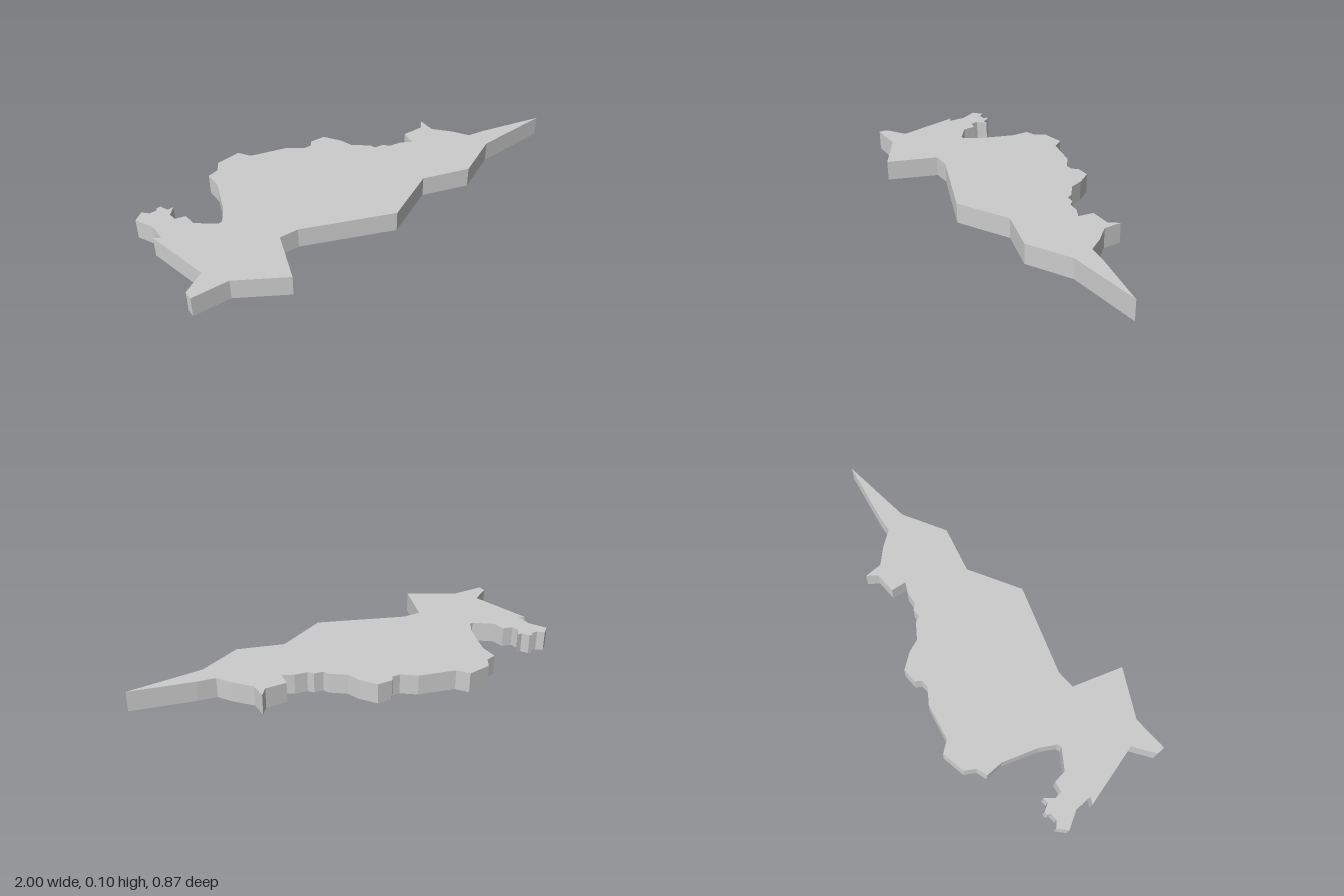
import * as THREE from 'three';

const HEIGHT = 0.097;

// Outline of the slab as seen from above: [x, z]
const backEdge = [
  [-1, 0.27], [-0.9, 0.205], [-0.97, -0.1], [-0.94, -0.083], [-0.94, -0.168],
  [-0.983, -0.25], [-0.94, -0.286], [-0.914, -0.26], [-0.88, -0.26],
  [-0.875, -0.275], [-0.855, -0.275], [-0.838, -0.238], [-0.81, -0.24],
  [-0.845, -0.2], [-0.84, -0.163], [-0.793, -0.152], [-0.787, -0.09],
  [-0.7, -0.026], [-0.682, -0.03], [-0.637, -0.104], [-0.578, -0.27],
  [-0.578, -0.355], [-0.526, -0.37], [-0.495, -0.42], [-0.38, -0.437],
  [-0.342, -0.382], [-0.17, -0.34], [-0.103, -0.29], [-0.065, -0.29],
  [-0.045, -0.317], [0.027, -0.317], [0.078, -0.243], [0.1, -0.18],
  [0.17, -0.127], [0.18, -0.1], [0.225, -0.095], [0.245, -0.07],
  [0.305, -0.062], [0.355, -0.035], [0.366, -0.108], [0.468, -0.108],
  [0.503, -0.153], [0.503, -0.067], [0.57, 0.008], [0.618, 0.081], [0.706, 0.094],
];
const frontEdge = [
  [1, 0.16], [0.64, 0.184], [0.433, 0.29], [0.215, 0.227], [-0.033, 0.356],
  [-0.444, 0.202], [-0.533, 0.202], [-0.615, 0.435], [-0.83, 0.31], [-1, 0.31],
];

export function createModel() {
  const group = new THREE.Group();
  group.name = 'outlineSlab';

  // Shape is drawn with y = -z, then laid flat so the extrusion rises from y = 0
  const outline = new THREE.Shape(
    [...backEdge, ...frontEdge].map(([x, z]) => new THREE.Vector2(x, -z))
  );
  const geometry = new THREE.ExtrudeGeometry(outline, { depth: HEIGHT, bevelEnabled: false });
  geometry.rotateX(-Math.PI / 2);

  const slab = new THREE.Mesh(
    geometry,
    new THREE.MeshStandardMaterial({ color: 0xcccccc, flatShading: true })
  );
  slab.name = 'slab';
  group.add(slab);
  return group;
}
